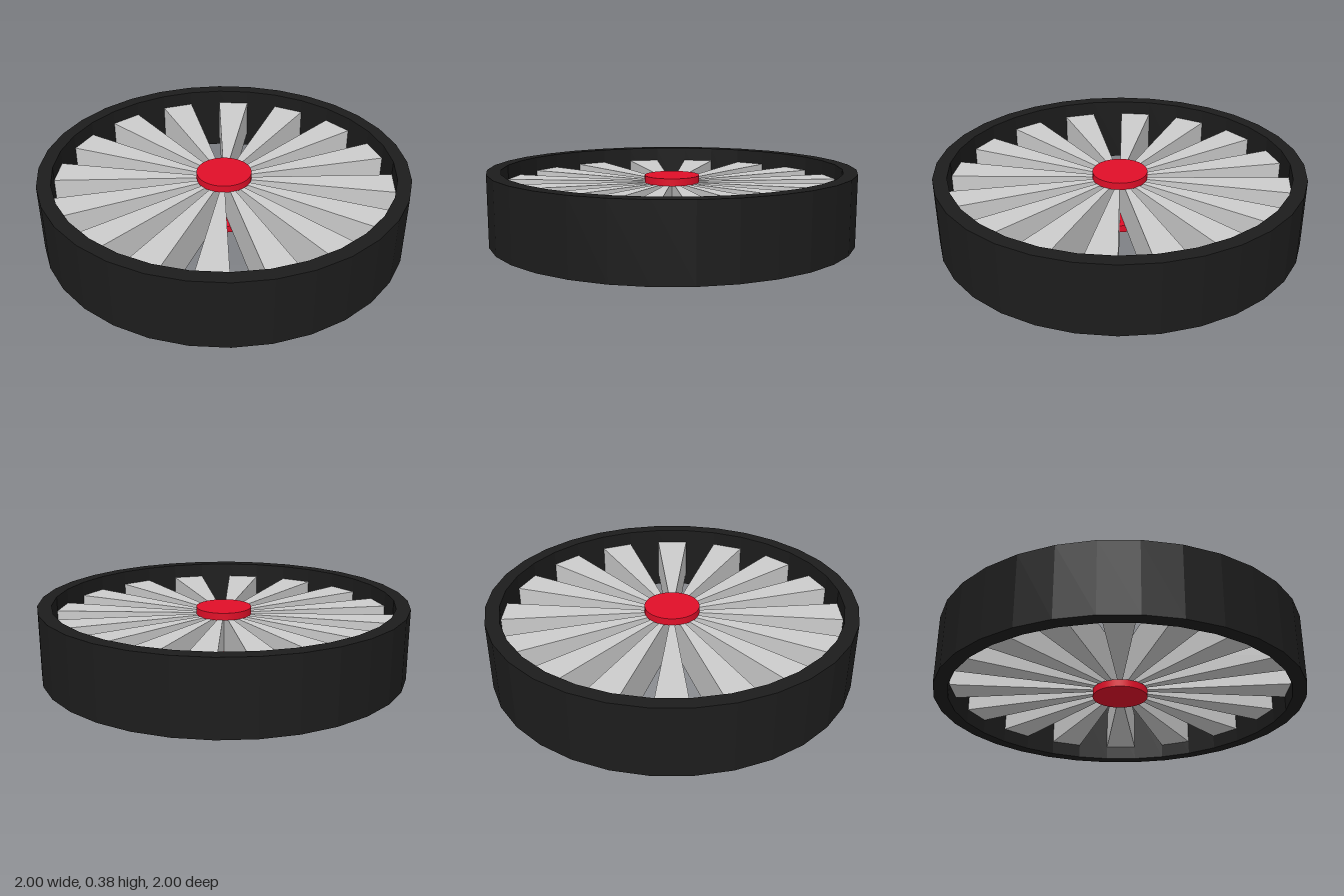
import * as THREE from 'three';

const SIDES = 32;
const HEIGHT = 0.385;
const INNER = 0.925;
const STEP = (Math.PI * 2) / SIDES;

const polar = (r, a) => new THREE.Vector2(r * Math.cos(a), r * Math.sin(a));
const polygon = (r) => Array.from({ length: SIDES }, (_, i) => polar(r, i * STEP));

// Upright prism from a ground-plan shape, between two heights
function prism(shape, y0, y1) {
  const geometry = new THREE.ExtrudeGeometry(shape, { depth: y1 - y0, bevelEnabled: false });
  return geometry.rotateX(-Math.PI / 2).translate(0, y0, 0);
}

export function createModel() {
  const wheel = new THREE.Group();
  wheel.name = 'wheel';

  const black = new THREE.MeshStandardMaterial({ color: 0x1c1c1c });
  const red = new THREE.MeshStandardMaterial({ color: 0xe00f28 });
  const grey = new THREE.MeshStandardMaterial({ color: 0xcccccc });

  const add = (name, geometry, material, parent = wheel) => {
    const mesh = new THREE.Mesh(geometry, material);
    mesh.name = name;
    parent.add(mesh);
    return mesh;
  };

  // Faceted tyre, open through the middle
  const ring = new THREE.Shape(polygon(1));
  ring.holes.push(new THREE.Path(polygon(INNER).reverse()));
  add('tyre', prism(ring, 0, HEIGHT), black);

  // Wedge spokes meeting at the centre, one on every second facet
  const spokes = new THREE.Group();
  spokes.name = 'spokes';
  wheel.add(spokes);
  const wedge = new THREE.Shape([new THREE.Vector2(0, 0), polar(INNER, -STEP), polar(INNER, 0)]);
  const wedgeGeometry = prism(wedge, 0.08, HEIGHT - 0.08);
  for (let i = 0; i < SIDES / 2; i++) {
    add('spoke', wedgeGeometry, grey, spokes).rotation.y = i * 2 * STEP;
  }

  // Hub caps above and below the spokes
  const capGeometry = new THREE.CylinderGeometry(0.15, 0.15, 0.04, 48);
  add('upperHubCap', capGeometry, red).position.y = HEIGHT - 0.062;
  add('lowerHubCap', capGeometry, red).position.y = 0.062;

  return wheel;
}
